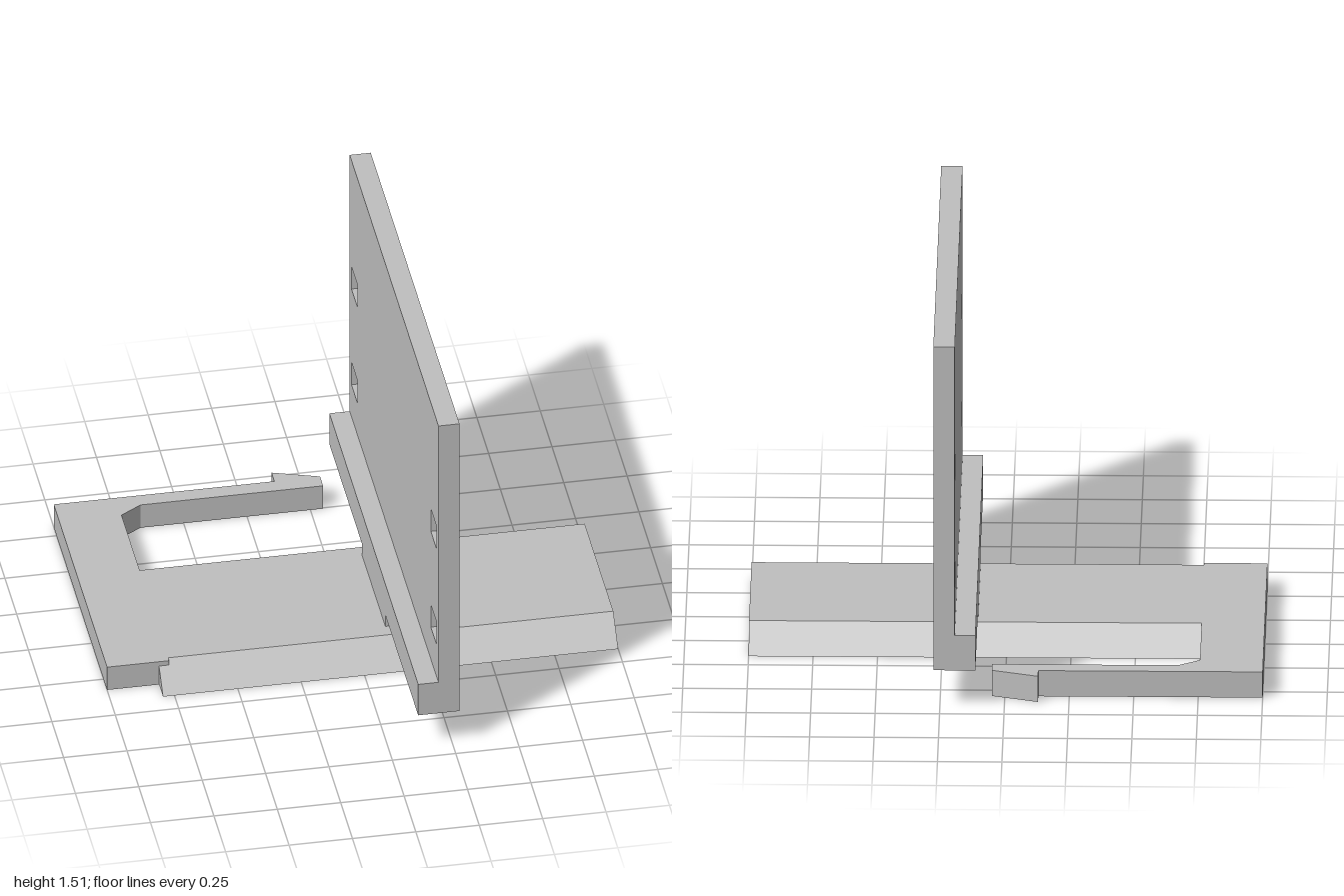
import * as THREE from 'three';

const BASE_H = 0.107;

function polygon(points) {
  return new THREE.Shape(points.map(([a, b]) => new THREE.Vector2(a, b)));
}

function extrude(shape, depth) {
  return new THREE.ExtrudeGeometry(shape, { depth, bevelEnabled: false });
}

// Extrude a (z, y) profile along x, from x0 to x1
function extrudeAlongX(shape, x0, x1) {
  return extrude(shape, x1 - x0).rotateY(-Math.PI / 2).translate(x1, 0, 0);
}

export function createModel() {
  const group = new THREE.Group();
  const grey = new THREE.MeshStandardMaterial({ color: 0xbfbfbf });
  grey.name = 'grey plastic';

  const add = (name, geometry) => {
    const mesh = new THREE.Mesh(geometry, grey);
    mesh.name = name;
    group.add(mesh);
  };
  const addBox = (name, x0, x1, y0, y1, z0, z1) => add(name,
    new THREE.BoxGeometry(x1 - x0, y1 - y0, z1 - z0)
      .translate((x0 + x1) / 2, (y0 + y1) / 2, (z0 + z1) / 2));

  // Sliding base with bevelled long edges
  add('dovetailBase', extrudeAlongX(polygon([
    [-0.41, 0], [0.41, 0], [0.305, BASE_H], [-0.305, BASE_H],
  ]), -0.795, 1));

  // End block with spring arm and hook, drawn in (x, z)
  add('endBlockAndLatchArm', extrude(polygon([
    [-1, -0.81], [-0.13, -0.81], [-0.13, -0.87], [0.05, -0.81], [0.05, -0.745],
    [-0.67, -0.745], [-0.755, -0.69], [-0.755, 0.325], [-1, 0.325],
  ]), BASE_H).rotateX(Math.PI / 2).translate(0, BASE_H, 0));

  // Upright plate with four mounting holes
  const plate = polygon([[-0.945, 0.16], [0.945, 0.16], [0.945, 1.51], [-0.945, 1.51]]);
  for (const z of [-0.845, 0.845]) {
    for (const y of [0.508, 0.958]) {
      const w = 0.0625, h = 0.053;
      plate.holes.push(new THREE.Path([
        new THREE.Vector2(z - w, y - h), new THREE.Vector2(z - w, y + h),
        new THREE.Vector2(z + w, y + h), new THREE.Vector2(z + w, y - h),
      ]));
    }
  }
  add('uprightPlate', extrudeAlongX(plate, 0.192, 0.275));

  // Ledge along the plate's lower edge, and the neck down to the base
  addBox('ledge', 0.112, 0.192, 0.16, 0.305, -0.945, 0.945);
  addBox('neck', 0.112, 0.275, BASE_H, 0.16, -0.247, 0.247);

  return group;
}
